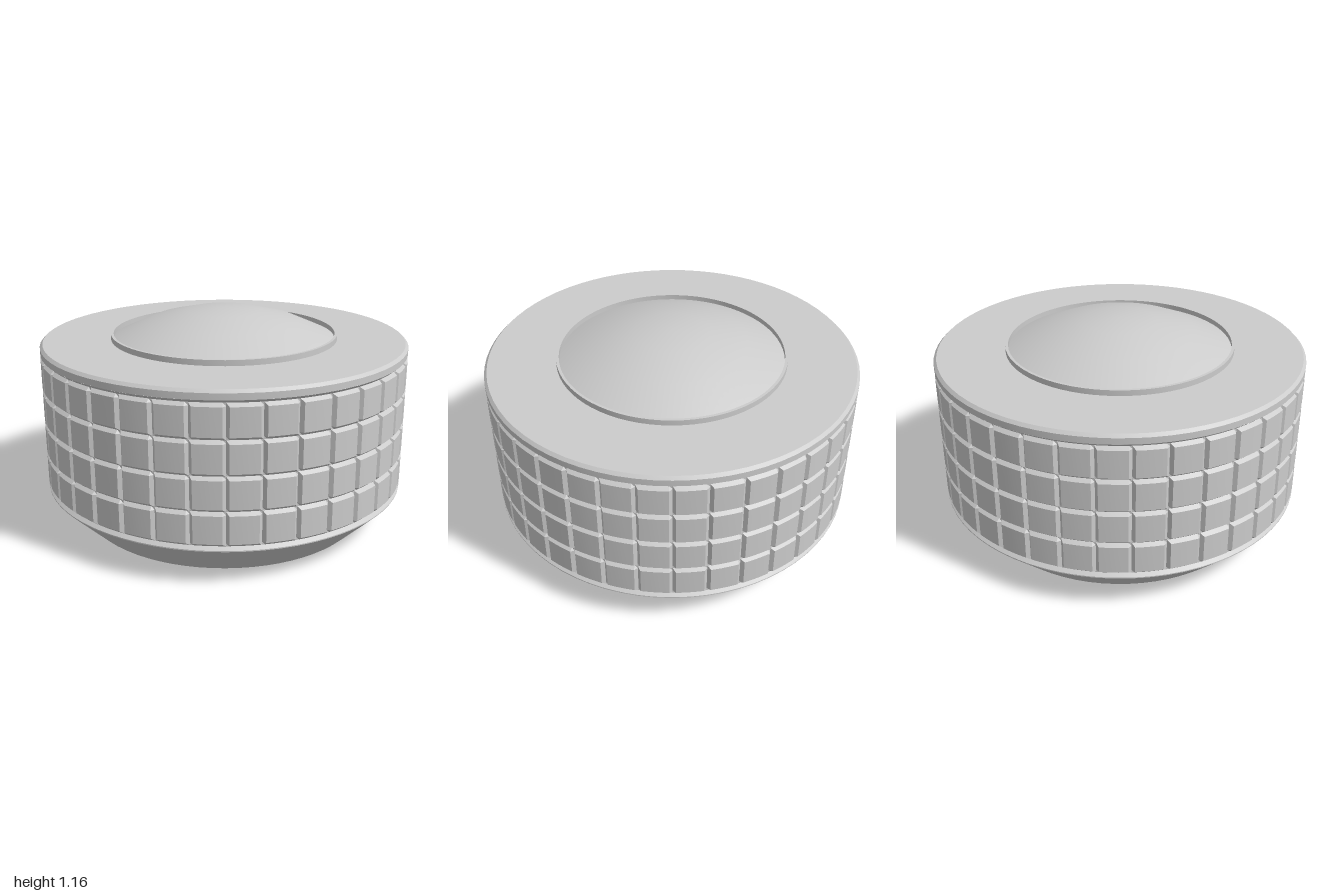
import * as THREE from 'three';
import { toCreasedNormals } from 'three/addons/utils/BufferGeometryUtils.js';

const COLUMNS = 36;    // grip pads around the rim
const ROWS = 4;        // grip pads in height
const GROOVE_Y = 0.222, PITCH = 0.1785;
const HALF = 0.016, DEPTH = 0.018;   // half width and depth of a V groove
const LOW = GROOVE_Y - HALF, HIGH = GROOVE_Y + ROWS * PITCH + HALF;

const material = new THREE.MeshStandardMaterial({ color: 0xcccccc });

function part(name, geometry) {
  const mesh = new THREE.Mesh(toCreasedNormals(geometry, 0.6), material);
  mesh.name = name;
  return mesh;
}

function lathe(points, segments = 72) {
  return new THREE.LatheGeometry(points.map(([r, y]) => new THREE.Vector2(r, y)), segments);
}

// Cylinder band cut by horizontal and vertical V grooves
function gripGeometry() {
  const profile = [];
  for (let i = 0; i <= ROWS; i++) {
    const y = GROOVE_Y + i * PITCH;
    profile.push([1, y - HALF], [1 - DEPTH, y], [1, y + HALF]);
  }
  const edge = HALF * 180 / Math.PI, step = 360 / COLUMNS;
  const offsets = [0, edge, step * 0.365, step * 0.635, step - edge];
  const geometry = lathe(profile, COLUMNS * offsets.length);
  const pos = geometry.attributes.position;
  for (let i = 0; i < pos.count; i++) {
    const segment = Math.floor(i / profile.length), k = i % profile.length;
    const column = Math.floor(segment / offsets.length), slot = segment % offsets.length;
    const angle = THREE.MathUtils.degToRad(step * (column + 0.5) + offsets[slot]);
    const inside = k > 0 && k < profile.length - 1;
    const r = slot === 0 && inside ? 1 - DEPTH : profile[k][0];
    pos.setXYZ(i, r * Math.sin(angle), profile[k][1], r * Math.cos(angle));
  }
  return geometry;
}

export function createModel() {
  const knob = new THREE.Group();
  knob.name = 'knob';

  // Tapered base with hollow underside and a drilled centre post
  knob.add(part('base', lathe([
    [0, 0.4], [0.094, 0.4], [0.094, 0], [0.35, 0], [0.35, 0.44],
    [0.655, 0.44], [0.655, 0], [0.8, 0], [1, 0.2], [1, LOW],
  ])));

  knob.add(part('grip', gripGeometry()));

  // Chamfered upper band and flat top
  knob.add(part('top', lathe([[1, HIGH], [1, 0.985], [0.985, 1], [0.6, 1]])));

  // Thin raised ring around the dome
  knob.add(part('ring', lathe([[0.62, 1], [0.62, 1.03], [0.605, 1.03], [0.605, 1]])));

  // Shallow spherical cap
  const R = 1.24;
  const dome = [0.605, 0.4, 0.2, 0].map(r => [r, 1.16 - R + Math.sqrt(R * R - r * r)]);
  knob.add(part('dome', lathe(dome)));

  return knob;
}
